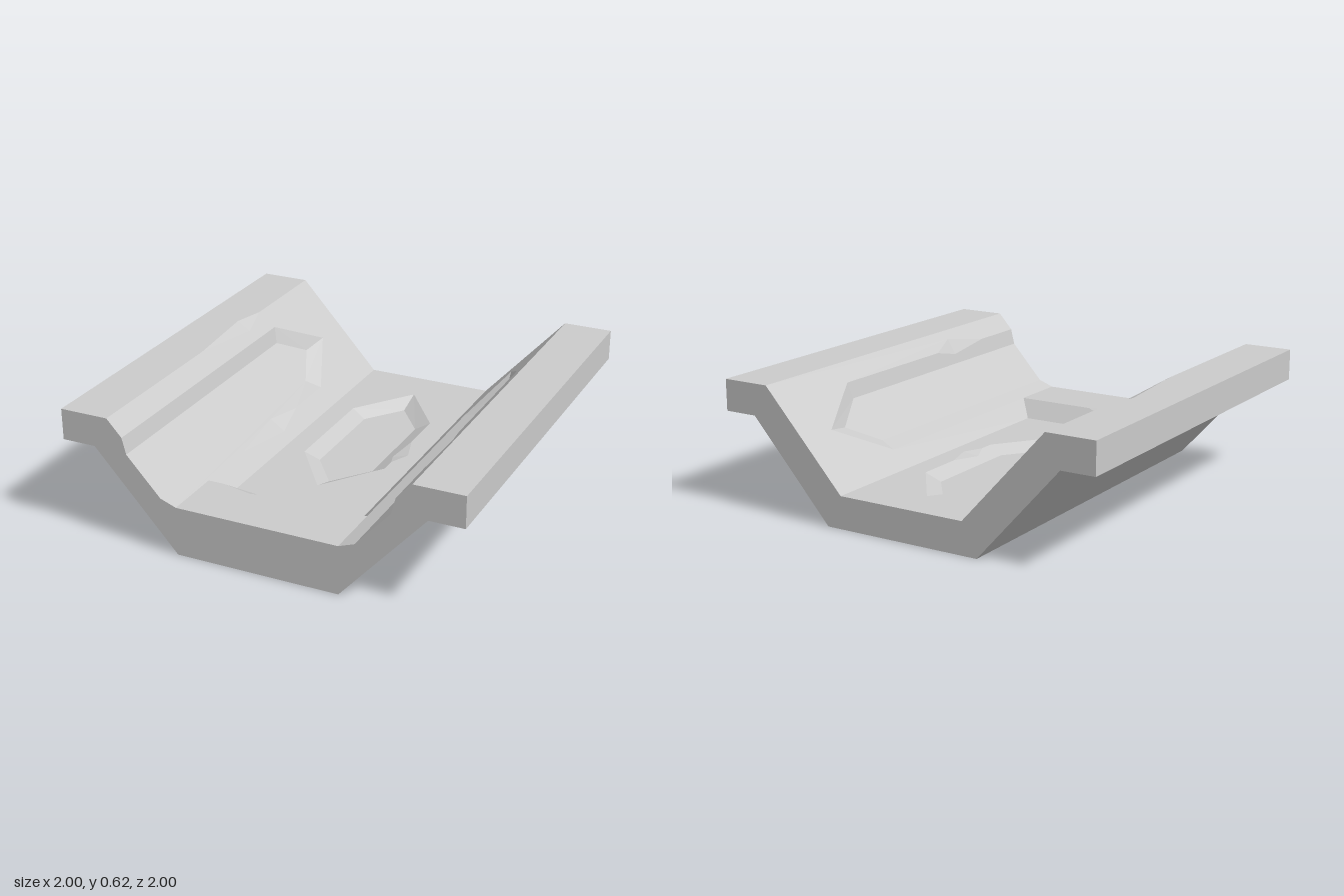
import * as THREE from 'three';

const material = new THREE.MeshStandardMaterial({ color: 0xcccccc, flatShading: true });
const UP = [0, 1, 0], DOWN = [0, -1, 0];

// Heights of the two floors, the rim and the sloping sides
const RIM = 0.625, FLOOR = 0.16, SILL = 0.245, LEDGE = 0.47;
const slope = (x) => SILL + (Math.abs(x) - 0.41) * 1.1014;
const onSlope = ([x, z]) => [x, slope(x), z];
const inRecess = ([x, z]) => [x, slope(x) - 0.0585, z];

// Fill a flat polygon (with optional holes) whose faces look towards "out"
function fill(target, points, out, holes = []) {
  const drop = out.findIndex((v) => v !== 0);
  const flat = (list) => list.map((p) => new THREE.Vector2(...p.filter((_, i) => i !== drop)));
  const all = [points, ...holes].flat();
  const facing = new THREE.Vector3(...out);
  for (const tri of THREE.ShapeUtils.triangulateShape(flat(points), holes.map(flat))) {
    const [a, b, c] = tri.map((i) => new THREE.Vector3(...all[i]));
    const normal = b.clone().sub(a).cross(c.clone().sub(a));
    const order = normal.dot(facing) < 0 ? [a, c, b] : [a, b, c];
    for (const v of order) target.push(v.x, v.y, v.z);
  }
}

// A chipped edge: a and c lie on the edge, b and d on the faces beside it
function fillChip(target, { a, b, c, d }) {
  fill(target, [a, b, d], UP);
  fill(target, [c, b, d], UP);
}

function addPart(group, name, build) {
  const positions = [];
  build(positions);
  const geometry = new THREE.BufferGeometry();
  geometry.setAttribute('position', new THREE.Float32BufferAttribute(positions, 3));
  geometry.computeVertexNormals();
  const mesh = new THREE.Mesh(geometry, material);
  mesh.name = name;
  group.add(mesh);
}

const chips = {
  rim: { a: [-0.755, RIM, -0.46], b: [-0.795, RIM, -0.3], c: [-0.755, RIM, 0.14], d: onSlope([-0.72, -0.29]) },
  lower: { a: onSlope([-0.41, -0.2]), b: onSlope([-0.375, 0]), c: onSlope([-0.41, 0.35]), d: [-0.45, 0.26, 0] },
  upper: { a: onSlope([0.68, 0.28]), b: onSlope([0.72, 0.43]), c: onSlope([0.68, 0.7]), d: [0.672, 0.51, 0.43] },
  step: { a: [-0.33, SILL, 0.7], b: [-0.17, SILL, 0.735], c: [0, SILL, 0.7], d: [-0.15, 0.2025, 0.66] },
  floor: { a: [0.22, FLOOR, -0.25], b: [0.265, FLOOR, -0.1], c: [0.22, FLOOR, 0], d: [0.19, 0.144, -0.08] },
};

// One sloping side with its pointed recess and the flat rim above
function buildSide(t, s) {
  const left = s < 0;
  const mirror = (list) => list.map(([x, z]) => [s * x, z]);
  const outer = mirror([[0.68, 1], [0.68, -0.49], [0.545, -0.79], [0.41, -0.49], [0.41, 1]]).map(onSlope);
  const inner = mirror([[0.66, 1], [0.66, -0.47], [0.575, -0.65], [0.49, -0.47], [0.49, 1]]).map(inRecess);
  const { rim, lower, upper } = chips;

  // flat rim
  const edge = (p) => (left ? [rim.a, rim[p], rim.c] : []);
  fill(t, [[s, RIM, -1], [s * 0.755, RIM, -1], ...edge('b'), [s * 0.755, RIM, 1], [s, RIM, 1]], UP);

  // slope around the recess
  fill(t, [
    [s * 0.755, RIM, -1], ...edge('d'), [s * 0.755, RIM, 1], outer[0],
    ...(left ? [] : [upper.c, upper.b, upper.a]),
    outer[1], outer[2], outer[3],
    ...(left ? [lower.a, lower.b, lower.c] : []),
    [s * 0.41, SILL, 0.7], [s * 0.333, FLOOR, 0.62], [s * 0.333, FLOOR, -1],
  ], UP);

  // recess walls and bottom
  for (let i = 0; i < 4; i++) {
    let broken = [];
    if (!left && i === 0) broken = [upper.c, upper.d, upper.a];
    if (left && i === 3) broken = [lower.a, lower.d, lower.c];
    fill(t, [outer[i], ...broken, outer[i + 1], inner[i + 1], inner[i]], UP);
  }
  fill(t, inner, UP);
  if (left) [rim, lower].forEach((chip) => fillChip(t, chip));
  else fillChip(t, upper);
}

// Lower floor with a six-sided sunken panel
function buildFloor(t) {
  const outer = [[0, -0.79], [0.22, -0.49], [0.22, 0.08], [0, 0.38], [-0.22, 0.08], [-0.22, -0.49]]
    .map(([x, z]) => [x, FLOOR, z]);
  const inner = [[0, -0.66], [0.145, -0.47], [0.145, 0.06], [0, 0.25], [-0.145, 0.06], [-0.145, -0.47]]
    .map(([x, z]) => [x, FLOOR - 0.04, z]);
  const { a, b, c, d } = chips.floor;
  const hole = [...outer.slice(0, 2), a, b, c, ...outer.slice(2)];
  fill(t, [[-0.333, FLOOR, -1], [0.333, FLOOR, -1], [0.333, FLOOR, 0.62], [-0.333, FLOOR, 0.62]], UP, [hole]);
  outer.forEach((p, i) => {
    const j = (i + 1) % 6;
    fill(t, [p, ...(i === 1 ? [a, d, c] : []), outer[j], inner[j], inner[i]], UP);
  });
  fill(t, inner, UP);
  fillChip(t, chips.floor);
}

// Raised sill at the front and the bevelled step behind it
function buildSill(t) {
  const { a, b, c, d } = chips.step;
  const ends = [[-0.41, SILL, 0.7], [0.41, SILL, 0.7]];
  fill(t, [ends[0], a, d, c, ends[1], [0.333, FLOOR, 0.62], [-0.333, FLOOR, 0.62]], UP);
  fill(t, [ends[0], a, b, c, ends[1], [0.41, SILL, 1], [-0.41, SILL, 1]], UP);
  fillChip(t, chips.step);
}

// Underside, outer edges and both cut ends
function buildShell(t) {
  const strip = ([x0, y0], [x1, y1], out) =>
    fill(t, [[x0, y0, -1], [x1, y1, -1], [x1, y1, 1], [x0, y0, 1]], out);
  strip([-0.41, 0], [0.41, 0], DOWN);
  for (const s of [1, -1]) {
    strip([s * 0.41, 0], [s * 0.83, LEDGE], DOWN);
    strip([s * 0.83, LEDGE], [s, LEDGE], DOWN);
    strip([s, LEDGE], [s, RIM], [s, 0, 0]);
  }
  const under = [[0.41, 0], [0.83, LEDGE], [1, LEDGE], [1, RIM], [0.755, RIM]];
  const frontInside = [[0.68, slope(0.68)], [0.66, slope(0.66) - 0.0585], [0.49, slope(0.49) - 0.0585], [0.41, SILL]];
  for (const [z, inside] of [[1, frontInside], [-1, [[0.333, FLOOR]]]]) {
    const half = [...under, ...inside];
    const other = half.map(([x, y]) => [-x, y]).reverse();
    fill(t, [...half, ...other].map(([x, y]) => [x, y, z]), [0, 0, z]);
  }
}

export function createModel() {
  const group = new THREE.Group();
  group.name = 'trenchSection';
  addPart(group, 'leftSide', (t) => buildSide(t, 1));
  addPart(group, 'rightSide', (t) => buildSide(t, -1));
  addPart(group, 'floorPanel', buildFloor);
  addPart(group, 'frontSill', buildSill);
  addPart(group, 'outerShell', buildShell);
  return group;
}
